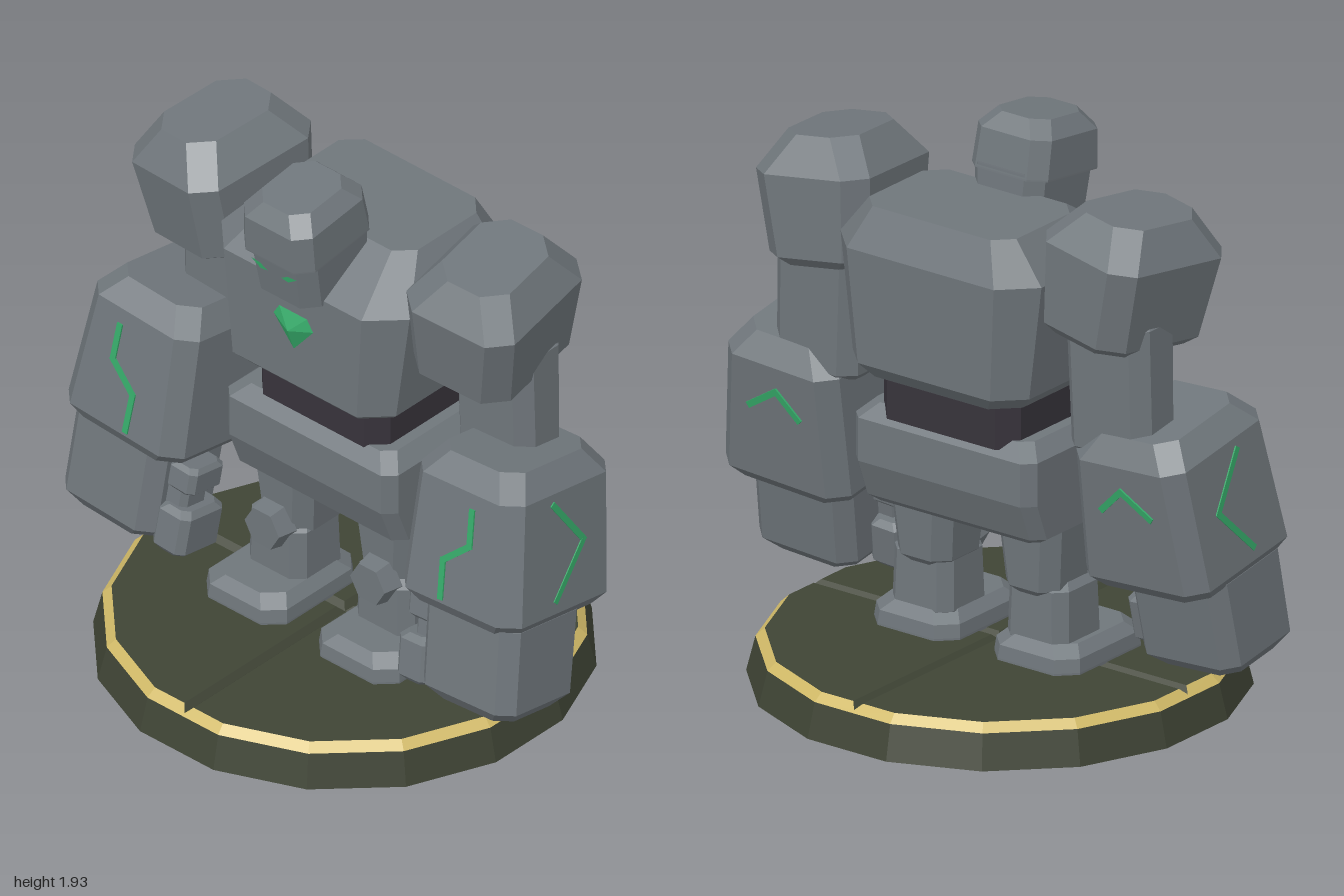
import * as THREE from 'three';

const mat = (name, color) => Object.assign(new THREE.MeshStandardMaterial({ color }), { name });

// Flat-faced geometry from convex polygons
function facets(polys) {
  const pos = [];
  for (const p of polys)
    for (let i = 1; i < p.length - 1; i++) pos.push(...p[0], ...p[i], ...p[i + 1]);
  const g = new THREE.BufferGeometry();
  g.setAttribute('position', new THREE.Float32BufferAttribute(pos, 3));
  g.computeVertexNormals();
  return g;
}

// Chamfered block lofted through sections [y, halfWidth, zBack, zFront, chamfer]
function loft(sections) {
  const rings = sections.map(([y, x, b, f, c]) => [
    [x, y, b + c], [x, y, f - c], [x - c, y, f], [c - x, y, f],
    [-x, y, f - c], [-x, y, b + c], [c - x, y, b], [x - c, y, b]]);
  const polys = [rings[0], [...rings[rings.length - 1]].reverse()];
  for (let r = 0; r < rings.length - 1; r++)
    for (let i = 0; i < 8; i++) {
      const j = (i + 1) % 8;
      polys.push([rings[r][i], rings[r + 1][i], rings[r + 1][j], rings[r][j]]);
    }
  return facets(polys);
}

// Tapered block centred on its origin; sizes are [bottom, top], bevels are [inset, height]
function block(w, h, d, c, top = [0.03, 0.03], bot = top) {
  const s = (y, k, inset) => [y, w[k] / 2 - inset, inset - d[k] / 2, d[k] / 2 - inset, c];
  return loft([s(-h / 2, 0, bot[0]), s(-h / 2 + bot[1], 0, 0), s(h / 2 - top[1], 1, 0), s(h / 2, 1, top[0])]);
}

function add(parent, name, geo, material, p = [0, 0, 0], r = [0, 0, 0]) {
  const m = new THREE.Mesh(geo, material);
  m.name = name;
  m.position.set(...p);
  m.rotation.set(...r);
  parent.add(m);
  return m;
}

// Thin glowing line laid along points on a surface
function rune(parent, name, pts, normal, material) {
  for (let i = 0; i < pts.length - 1; i++) {
    const a = new THREE.Vector3(...pts[i]), b = new THREE.Vector3(...pts[i + 1]);
    const m = new THREE.Mesh(new THREE.BoxGeometry(0.022, 0.009, a.distanceTo(b) + 0.014), material);
    m.name = name;
    m.position.copy(a).lerp(b, 0.5);
    m.up.set(...normal);
    m.lookAt(b);
    parent.add(m);
  }
}

export function createModel() {
  const stone = mat('stone', 0x6f767b), dark = mat('dark core', 0x37333b);
  const crystal = mat('green crystal', 0x35a868);
  const moss = mat('dark green base', 0x3f4435), gold = mat('gold trim', 0xd0b967);
  const model = new THREE.Group();
  model.name = 'stoneGuardian';

  // Base: sixteen-sided plinth, gold chamfer, V-cut cross in the top
  const base = new THREE.Group();
  base.name = 'base';
  model.add(base);
  const wall = new THREE.CylinderGeometry(0.79, 0.82, 0.12, 16, 1, false, Math.PI / 16).toNonIndexed();
  wall.computeVertexNormals();
  add(base, 'plinth', wall, moss, [0, 0.06, 0]);
  const ring = (r, y) => [1, 3, 5, 7].map(k => {
    const a = k * Math.PI / 16;
    return [r * Math.sin(a), y, r * Math.cos(a)];
  });
  const low = ring(0.79, 0.12), up = ring(0.76, 0.148);
  const trim = [
    [[0, 0.12, 0.775], low[0], up[0], [0.02, 0.148, 0.745], [0, 0.128, 0.766]],
    [low[3], [0.775, 0.12, 0], [0.766, 0.128, 0], [0.745, 0.148, 0.02], up[3]]];
  for (let i = 0; i < 3; i++) trim.push([low[i], low[i + 1], up[i + 1], up[i]]);
  const quarter = [
    [[0.02, 0.148, 0.02], [0.02, 0.148, 0.745], ...up, [0.745, 0.148, 0.02]],
    [[0, 0.128, 0], [0, 0.128, 0.766], [0.02, 0.148, 0.745], [0.02, 0.148, 0.02]],
    [[0, 0.128, 0], [0.02, 0.148, 0.02], [0.745, 0.148, 0.02], [0.766, 0.128, 0]]];
  for (let q = 0; q < 4; q++) {
    add(base, 'baseTrim', facets(trim), gold, [0, 0, 0], [0, q * Math.PI / 2, 0]);
    add(base, 'baseTop', facets(quarter), moss, [0, 0, 0], [0, q * Math.PI / 2, 0]);
  }

  // Torso, waist and pelvis
  add(model, 'torso', loft([
    [1.10, 0.31, -0.36, 0.19, 0.08], [1.15, 0.36, -0.40, 0.24, 0.09],
    [1.55, 0.41, -0.42, 0.25, 0.11], [1.69, 0.30, -0.36, 0.04, 0.06]]), stone);
  add(model, 'waist', loft([[0.94, 0.28, -0.31, 0.15, 0.06], [1.13, 0.28, -0.31, 0.15, 0.06]]), dark);
  add(model, 'pelvis', loft([
    [0.615, 0.33, -0.24, 0.11, 0.03], [0.64, 0.37, -0.27, 0.14, 0.04], [0.77, 0.37, -0.32, 0.19, 0.04],
    [0.92, 0.37, -0.32, 0.19, 0.04], [0.97, 0.32, -0.27, 0.14, 0.04]]), stone);

  // Faceted chest gem
  const rim = [[-0.065, 1.445, 0.245], [-0.09, 1.4, 0.245], [0, 1.285, 0.24], [0.09, 1.4, 0.245], [0.065, 1.445, 0.245]];
  const peak = [0, 1.38, 0.275];
  add(model, 'chestGem', facets(rim.map((p, i) => [p, rim[(i + 1) % 5], peak])), crystal);

  // Head, leaning forward
  const head = new THREE.Group();
  head.name = 'head';
  head.position.set(0, 1.71, 0.175);
  head.rotation.x = 0.13;
  model.add(head);
  add(head, 'helmet', block([0.31, 0.30], 0.19, [0.36, 0.34], 0.05, [0.045, 0.055], [0, 0.005]), stone, [0, 0.107, 0.005]);
  add(head, 'face', block([0.27, 0.29], 0.24, [0.32, 0.34], 0.05, [0, 0.005], [0.035, 0.04]), stone, [0, -0.085, -0.005]);
  for (const s of [-1, 1]) {
    const eye = [[0.03, -0.05], [0.06, -0.055], [0.1, -0.027], [0.06, -0.031]].map(([x, y]) => [s * x, y, 0.17]);
    add(head, 'eye', facets([s > 0 ? eye : eye.reverse()]), crystal);
  }

  for (const s of [-1, 1]) {
    // Legs
    const leg = new THREE.Group();
    leg.name = s > 0 ? 'leftLeg' : 'rightLeg';
    model.add(leg);
    add(leg, 'thigh', block([0.22, 0.26], 0.28, [0.24, 0.27], 0.05), stone, [s * 0.22, 0.52, -0.04]);
    add(leg, 'shin', block([0.25, 0.24], 0.24, [0.24, 0.23], 0.04), stone, [s * 0.235, 0.32, -0.02]);
    const hex = new THREE.CylinderGeometry(0.075, 0.09, 0.07, 6).rotateY(Math.PI / 2).rotateX(Math.PI / 2).toNonIndexed();
    hex.computeVertexNormals();
    add(leg, 'kneeGuard', hex, stone, [s * 0.23, 0.42, 0.11]);
    add(leg, 'foot', block([0.35, 0.34], 0.09, [0.44, 0.43], 0.06, [0.035, 0.035], [0, 0.01]), stone, [s * 0.245, 0.19, 0.04]);

    // Arms
    const arm = new THREE.Group();
    arm.name = s > 0 ? 'leftArm' : 'rightArm';
    model.add(arm);
    add(arm, 'shoulder', block([0.38, 0.425], 0.43, [0.47, 0.52], 0.07, [0.08, 0.12], [0.03, 0.03]),
      stone, [s * 0.583, 1.575, -0.07], [0.1, s * 0.13, s * -0.12]);
    add(arm, 'upperArm', block([0.33, 0.34], 0.5, [0.21, 0.22], 0.05), stone, [s * 0.595, 1.22, -0.13], [0, 0, s * 0.03]);

    // Forearm with glowing lines on front, back and outer side
    const fore = new THREE.Group();
    fore.name = 'forearm';
    fore.position.set(s * 0.72, 0.835, 0);
    fore.rotation.set(-0.16, 0, s * 0.06);
    arm.add(fore);
    add(fore, 'forearmBlock', block([0.51, 0.45], 0.55, [0.53, 0.51], 0.06, [0.06, 0.08], [0.035, 0.045]), stone);
    const hx = y => 0.238 - y * 0.066, hz = y => 0.261 - y * 0.022;
    rune(fore, 'frontRune', [[0.056, 0.135], [0.058, 0.01], [-0.048, -0.075], [-0.046, -0.21]]
      .map(([x, y]) => [s * x, y, hz(y)]), [0, 0, 1], crystal);
    rune(fore, 'backRune', [[-0.1, 0.03], [-0.01, 0.11], [0.1, 0.03]]
      .map(([x, y]) => [s * x, y, -hz(y)]), [0, 0, -1], crystal);
    rune(fore, 'sideRune', [[0.062, 0.157], [-0.088, -0.006], [0.041, -0.186]]
      .map(([z, y]) => [s * hx(y), y, z]), [s, 0, 0], crystal);

    // Fist and thumb
    const tilt = [-0.16, 0, s * 0.06];
    add(arm, 'fist', block([0.4, 0.4], 0.38, [0.36, 0.37], 0.05, [0.03, 0.03], [0.045, 0.05]), stone, [s * 0.775, 0.425, 0.11], tilt);
    add(arm, 'thumbBase', block([0.12, 0.12], 0.1, [0.16, 0.16], 0.02, [0.015, 0.015]), stone, [s * 0.525, 0.5, 0.14], tilt);
    add(arm, 'thumbJoint', block([0.1, 0.1], 0.1, [0.12, 0.12], 0.02, [0.01, 0.01]), stone, [s * 0.55, 0.425, 0.16], tilt);
    add(arm, 'fingers', block([0.14, 0.14], 0.17, [0.2, 0.2], 0.025, [0.02, 0.02]), stone, [s * 0.53, 0.315, 0.17], tilt);
  }
  return model;
}
